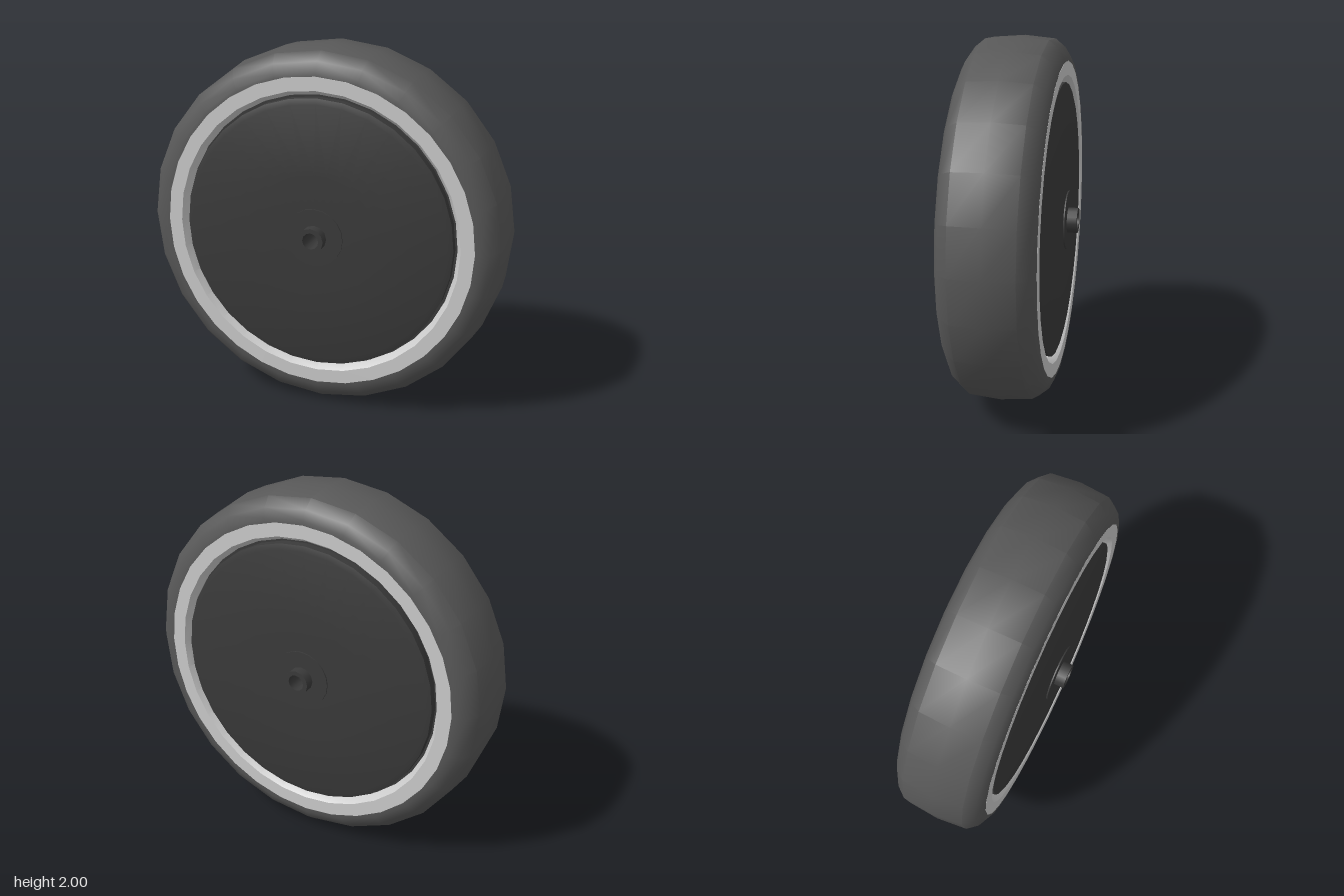
import * as THREE from 'three';
import { toCreasedNormals } from 'three/addons/utils/BufferGeometryUtils.js';

// Closed ring turned about the z axis. The half profile [radius, z] runs from
// the middle plane outwards over the front and back to the middle on the inside.
function turned(name, half, sides, color) {
  const back = half.map(([r, z]) => [r, -z]).reverse();
  const pts = [...half, ...back, half[0]]
    .filter(([r, z], i, a) => i === 0 || r !== a[i - 1][0] || z !== a[i - 1][1])
    .map(([r, z]) => new THREE.Vector2(r, z));
  const lathe = new THREE.LatheGeometry(pts, sides);
  lathe.rotateX(Math.PI / 2);
  const mesh = new THREE.Mesh(
    toCreasedNormals(lathe, 0.6),
    new THREE.MeshStandardMaterial({ color })
  );
  mesh.name = name;
  return mesh;
}

export function createModel() {
  const wheel = new THREE.Group();
  wheel.name = 'wheel';

  // Slightly crowned tyre with sloping shoulders
  wheel.add(turned('tyre', [
    [1.0, 0], [0.985, 0.17], [0.94, 0.225], [0.89, 0.25], [0.86, 0.252], [0.86, 0],
  ], 24, 0x585858));

  // Pale rim band, bevelled on its inner edge
  wheel.add(turned('rim', [
    [0.865, 0], [0.865, 0.252], [0.79, 0.252], [0.765, 0.215], [0.765, 0],
  ], 32, 0xcccccc));

  // Shallow domed side discs, set apart from the rim by a narrow groove
  wheel.add(turned('sideDisc', [
    [0.77, 0], [0.77, 0.2], [0.75, 0.2], [0.75, 0.243], [0.72, 0.252],
    [0.35, 0.276], [0.16, 0.279], [0.05, 0.279], [0.05, 0],
  ], 32, 0x3a3a3a));

  // Raised washer around the bore
  wheel.add(turned('hubWasher', [
    [0.16, 0], [0.16, 0.286], [0.05, 0.286], [0.05, 0],
  ], 20, 0x3a3a3a));

  // Hollow axle sleeve passing right through
  wheel.add(turned('axleSleeve', [
    [0.07, 0], [0.07, 0.34], [0.045, 0.34], [0.045, 0],
  ], 12, 0x3a3a3a));

  wheel.position.y = 1;
  const model = new THREE.Group();
  model.add(wheel);
  return model;
}
